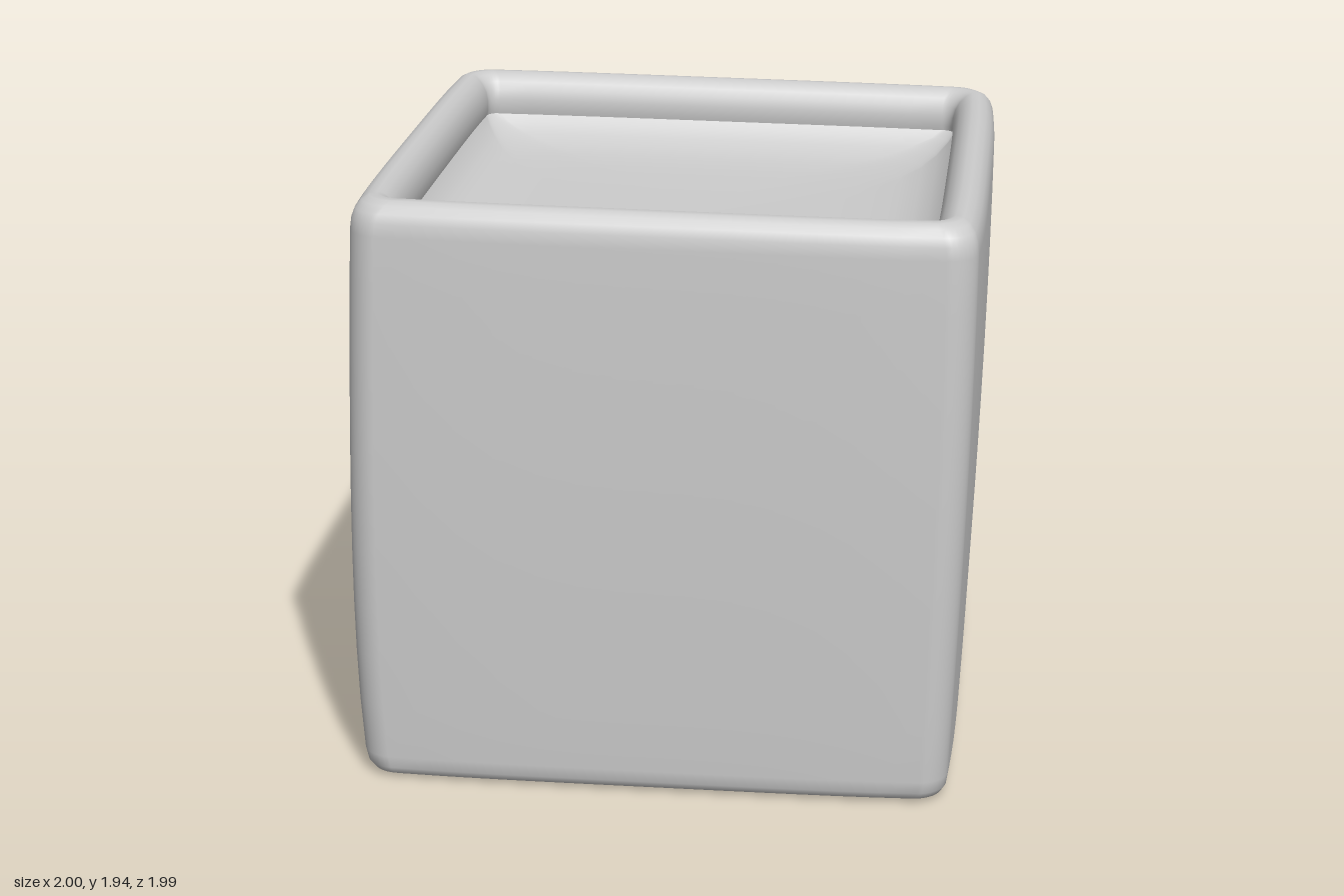
import * as THREE from 'three';

const SIDE = 14, CORNER = 8;

// Points of a rounded square with half width h and corner radius r
function ring(h, r) {
  const pts = [], d = h - r;
  for (let k = 0; k < 4; k++) {
    const a0 = k * Math.PI / 2;
    const c = Math.cos(a0 + Math.PI / 4) * Math.SQRT2 * d;
    const s = Math.sin(a0 + Math.PI / 4) * Math.SQRT2 * d;
    for (let i = 0; i <= CORNER; i++) {
      const a = a0 + (i / CORNER) * Math.PI / 2;
      pts.push([c + r * Math.cos(a), s + r * Math.sin(a)]);
    }
    const [x, z] = pts[pts.length - 1];
    const ux = -Math.sin(a0 + Math.PI / 4 - Math.PI / 4 + Math.PI / 2), uz = Math.cos(a0 + Math.PI / 2);
    for (let i = 1; i < SIDE; i++) pts.push([x + ux * 2 * d * i / SIDE, z + uz * 2 * d * i / SIDE]);
  }
  return pts;
}

// Gentle hand-made unevenness: bulging walls, narrower foot, tilted rim
function warp(x, y, z) {
  const t = Math.min(1, Math.max(0, y / 1.93));
  const grow = 0.945 + 0.055 * Math.sin(t * Math.PI / 2);
  const left = grow;
  const right = 0.968 + 0.032 * Math.sin(Math.PI * Math.pow(t, 0.65));
  const front = 0.98 + 0.015 * Math.sin(Math.PI * t);
  const wx = x * (x > 0 ? left : right) * (1 - 0.02 * z ** 4);
  const wz = z * (z > 0 ? front : grow) * (1 - 0.02 * x ** 4);
  return [wx, y - 0.012 * x * t, wz];
}

// Skin through rounded-square sections given as [inset, y, corner radius]
function skin(name, sections, material) {
  const pos = [], idx = [];
  let n = 0;
  for (const [inset, y, r] of sections) {
    const h = 1 - inset;
    const pts = ring(h, Math.min(r, h));
    n = pts.length;
    for (const [x, z] of pts) pos.push(...warp(x, y, z));
  }
  for (let j = 0; j < sections.length - 1; j++) {
    for (let i = 0; i < n; i++) {
      const a = j * n + i, b = j * n + (i + 1) % n;
      idx.push(a, a + n, b, b, a + n, b + n);
    }
  }
  const geo = new THREE.BufferGeometry();
  geo.setAttribute('position', new THREE.Float32BufferAttribute(pos, 3));
  geo.setIndex(idx);
  geo.computeVertexNormals();
  const mesh = new THREE.Mesh(geo, material);
  mesh.name = name;
  return mesh;
}

export function createModel() {
  const group = new THREE.Group();
  group.name = 'squarePlanter';
  const material = new THREE.MeshStandardMaterial({ color: 0xcccccc, side: THREE.DoubleSide });

  // Outer pot: underside, walls and rolled rim
  const pot = [[0.999, 0, 0.001], [0.5, 0, 0.08], [0.1, 0, 0.08], [0.045, 0.003, 0.08],
    [0.018, 0.016, 0.085], [0.004, 0.04, 0.09], [0, 0.08, 0.09]];
  for (let i = 1; i <= 10; i++) pot.push([0, 0.08 + i * 0.174, 0.09]);
  pot.push([0.004, 1.86, 0.09], [0.014, 1.888, 0.09], [0.032, 1.911, 0.09], [0.055, 1.923, 0.085],
    [0.08, 1.925, 0.075], [0.103, 1.915, 0.065], [0.124, 1.895, 0.055], [0.139, 1.868, 0.045],
    [0.146, 1.835, 0.04], [0.146, 1.8, 0.04], [0.138, 1.77, 0.04]);
  group.add(skin('pot', pot, material));

  // Dished inner floor rising to meet the rim
  const floor = [[0.135, 1.79, 0.04], [0.16, 1.758, 0.06], [0.2, 1.727, 0.1], [0.25, 1.703, 0.14],
    [0.32, 1.686, 0.18], [0.45, 1.674, 0.2], [0.7, 1.666, 0.15], [0.999, 1.664, 0.001]];
  group.add(skin('innerFloor', floor, material));

  return group;
}
